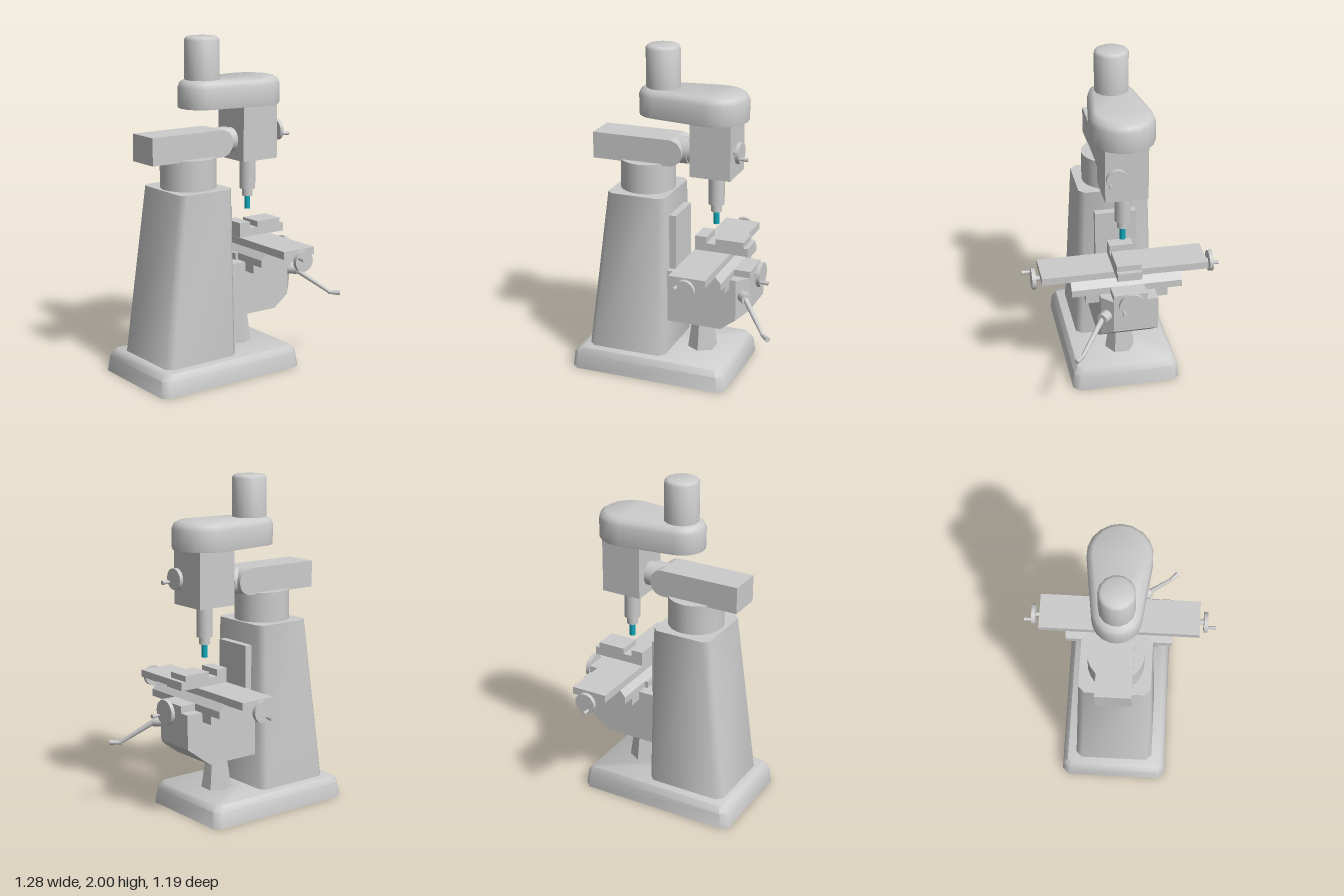
import * as THREE from 'three';
import { toCreasedNormals } from 'three/addons/utils/BufferGeometryUtils.js';

const grey = new THREE.MeshStandardMaterial({ color: 0xcccccc });
const teal = new THREE.MeshStandardMaterial({ color: 0x10a8bc });
const V = (x, y, z) => new THREE.Vector3(x, y, z);

export function createModel() {
  const model = new THREE.Group();

  function add(name, geometry, parent = model, material = grey) {
    const mesh = new THREE.Mesh(geometry, material);
    mesh.name = name;
    parent.add(mesh);
    return mesh;
  }

  // Box given by its limits on each axis
  function box(name, x0, x1, y0, y1, z0, z1) {
    const g = new THREE.BoxGeometry(x1 - x0, y1 - y0, z1 - z0);
    g.translate((x0 + x1) / 2, (y0 + y1) / 2, (z0 + z1) / 2);
    return add(name, g);
  }

  // Round bar from p (radius r0) to q (radius r1)
  function bar(name, p, q, r0, r1 = r0, sides = 16, parent = model, material = grey) {
    const d = q.clone().sub(p);
    const g = new THREE.CylinderGeometry(r1, r0, d.length(), sides);
    const m = add(name, g, parent, material);
    m.position.copy(p).add(q).multiplyScalar(0.5);
    m.quaternion.setFromUnitVectors(V(0, 1, 0), d.normalize());
    return m;
  }

  // Closed solid through rings of points, counterclockwise seen from above
  function loft(name, rings, crease = 0.9) {
    const n = rings[0].length, index = [], top = (rings.length - 1) * n;
    for (let r = 0; r < rings.length - 1; r++) {
      for (let i = 0; i < n; i++) {
        const a = r * n + i, b = r * n + (i + 1) % n;
        index.push(a, b, b + n, a, b + n, a + n);
      }
    }
    for (let i = 1; i < n - 1; i++) {
      index.push(0, i + 1, i, top, top + i, top + i + 1);
    }
    const g = new THREE.BufferGeometry().setFromPoints(rings.flat());
    g.setIndex(index);
    return add(name, toCreasedNormals(g, crease));
  }

  // Rectangle with cut corners at height y
  function cutRect(x0, x1, w, c, y) {
    return [[x0 + c, w], [x1 - c, w], [x1, w - c], [x1, c - w],
      [x1 - c, -w], [x0 + c, -w], [x0, c - w], [x0, w - c]].map(([x, z]) => V(x, y, z));
  }

  // Base and column
  loft('base', [
    cutRect(-0.645, 0.35, 0.33, 0.04, 0),
    cutRect(-0.633, 0.338, 0.32, 0.04, 0.095),
    cutRect(-0.605, 0.31, 0.295, 0.03, 0.13),
  ]);
  loft('column', [
    cutRect(-0.56, -0.065, 0.242, 0.035, 0.13),
    cutRect(-0.435, -0.07, 0.21, 0.035, 1.13),
  ]);
  box('columnWay', -0.1, -0.025, 0.36, 1.005, -0.125, 0.125);

  // Turret and ram
  bar('turret', V(-0.25, 1.12, 0), V(-0.25, 1.31, 0), 0.165, 0.165, 24);
  box('ram', -0.56, -0.08, 1.3, 1.46, -0.103, 0.103);
  bar('ramEnd', V(-0.08, 1.38, -0.103), V(-0.08, 1.38, 0.103), 0.08, 0.08, 24);
  bar('ramNose', V(-0.08, 1.38, 0), V(0.02, 1.38, 0), 0.08, 0.08, 24);
  bar('headPivot', V(0, 1.38, 0), V(0.07, 1.38, 0), 0.072, 0.072, 24);

  // Milling head
  box('head', 0.06, 0.308, 1.26, 1.6, -0.125, 0.125);

  // Teardrop outline round the motor and the spindle
  function teardrop(inset, y) {
    const pts = [], lean = Math.asin(0.045 / 0.34), n = 10;
    const arc = (cx, r, from, to) => {
      for (let i = 0; i <= n; i++) {
        const t = from + (to - from) * i / n;
        pts.push(V(cx + (r - inset) * Math.cos(t), y, -(r - inset) * Math.sin(t)));
      }
    };
    const h = Math.PI / 2 + lean;
    arc(0.187, 0.185, -h, h);
    arc(-0.152, 0.14, h, 2 * Math.PI - h);
    return pts;
  }
  loft('beltHousing', [
    teardrop(0.002, 1.59), teardrop(0, 1.6), teardrop(0, 1.708),
    teardrop(0.012, 1.737), teardrop(0.036, 1.752),
  ]);
  const motor = new THREE.LatheGeometry(
    [[0, 1.74], [0.102, 1.74], [0.102, 1.98], [0.094, 1.994], [0.082, 2], [0, 2]]
      .map(([r, y]) => new THREE.Vector2(r, y)), 14);
  add('motor', toCreasedNormals(motor, 0.8)).position.x = -0.15;

  // Spindle
  const sx = 0.183;
  bar('quill', V(sx, 1.07, 0), V(sx, 1.27, 0), 0.048);
  bar('collet', V(sx, 1.025, 0), V(sx, 1.07, 0), 0.033);
  bar('cutter', V(sx, 0.945, 0), V(sx, 1.025, 0), 0.018, 0.018, 12, model, teal);

  // Knee with sloping underside and one cut corner
  box('kneeRear', -0.068, 0.27, 0.34, 0.667, -0.165, 0.165);
  const plan = [[0.27, 0.165], [0.365, 0.165], [0.432, 0.1], [0.432, -0.165], [0.27, -0.165]];
  loft('kneeFront', [
    plan.map(([x, z]) => V(x, 0.34 + (x - 0.27) * 0.75, z)),
    plan.map(([x, z]) => V(x, 0.667, z)),
  ], 0.3);
  box('kneeWay', 0.02, 0.432, 0.66, 0.708, -0.1, 0.1);
  const post = new THREE.CylinderGeometry(0.058, 0.092, 0.24, 6).toNonIndexed();
  post.computeVertexNormals();
  add('kneeScrewPost', post).position.set(0.1, 0.24, 0);

  // Saddle and table
  box('saddle', 0.045, 0.325, 0.61, 0.67, -0.245, 0.245);
  const saddleShape = new THREE.Shape([[0.04, 0.665], [0.33, 0.665], [0.33, 0.708],
    [0.292, 0.752], [0.078, 0.752], [0.04, 0.708]].map(([x, y]) => new THREE.Vector2(x, y)));
  const saddleTop = new THREE.ExtrudeGeometry(saddleShape, { depth: 0.66, bevelEnabled: false });
  saddleTop.translate(0, 0, -0.33);
  add('saddleTop', saddleTop);
  box('table', 0.073, 0.295, 0.745, 0.79, -0.497, 0.497);

  // Vise
  box('viseBase', 0.075, 0.405, 0.788, 0.838, -0.072, 0.072);
  box('viseFixedJaw', 0.075, 0.148, 0.83, 0.878, -0.072, 0.072);
  box('viseMovingJaw', 0.205, 0.378, 0.83, 0.873, -0.072, 0.072);

  // Handwheel: shaft, disc and flared grip along an outward axis
  function handwheel(name, start, axis, radius, grip) {
    const wheel = new THREE.Group();
    wheel.name = name;
    model.add(wheel);
    const at = (d, off = V(0, 0, 0)) => start.clone().addScaledVector(axis, d).add(off);
    bar('shaft', at(-0.01), at(0.03), 0.015, 0.015, 12, wheel);
    bar('disc', at(0.026), at(0.05), radius, radius, 24, wheel);
    bar('grip', at(0.05, grip), at(0.1, grip), 0.008, 0.013, 10, wheel);
  }
  handwheel('tableWheelFront', V(sx, 0.73, 0.497), V(0, 0, 1), 0.063, V(-0.042, 0.023, 0));
  handwheel('tableWheelBack', V(sx, 0.73, -0.497), V(0, 0, -1), 0.063, V(-0.024, -0.035, 0));
  handwheel('saddleWheel', V(0.43, 0.658, 0), V(1, 0, 0), 0.075, V(0, -0.027, 0.052));
  handwheel('quillWheel', V(0.308, 1.42, 0.064), V(1, 0, 0), 0.063, V(0, -0.022, 0.042));

  // Knee crank on the cut corner
  const crank = new THREE.Group();
  crank.name = 'kneeCrank';
  model.add(crank);
  bar('hub', V(0.385, 0.563, 0.12), V(0.438, 0.563, 0.173), 0.034, 0.034, 16, crank);
  bar('arm', V(0.425, 0.563, 0.165), V(0.585, 0.42, 0.315), 0.017, 0.011, 12, crank);
  bar('grip', V(0.575, 0.42, 0.305), V(0.627, 0.42, 0.357), 0.01, 0.016, 10, crank);

  return model;
}
